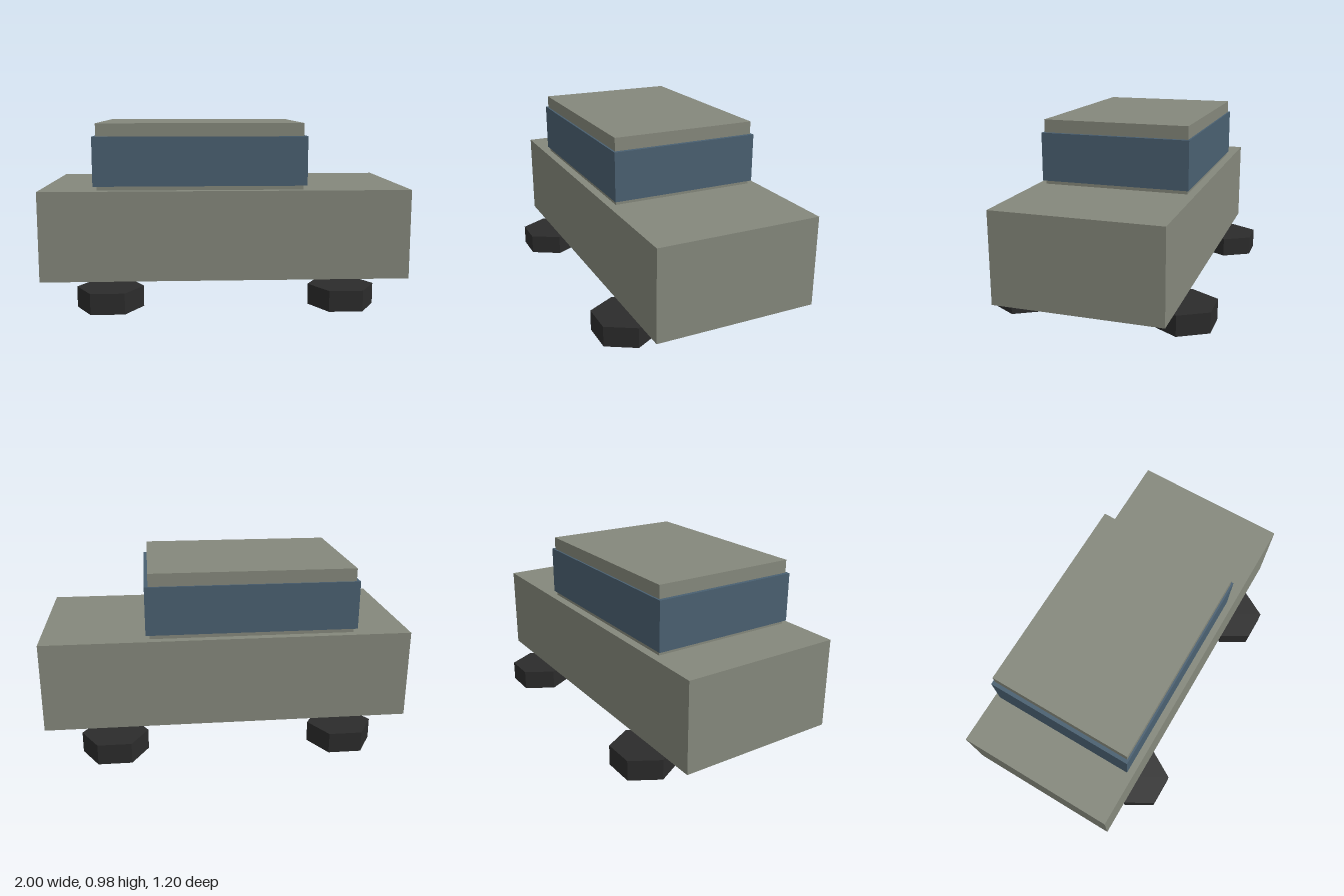
import * as THREE from 'three';

export function createModel() {
  const model = new THREE.Group();
  model.name = 'vehicle';

  const bodyPaint = new THREE.MeshStandardMaterial({ color: 0x85887c });
  const windowBlue = new THREE.MeshStandardMaterial({ color: 0x4a6071 });
  const rubber = new THREE.MeshStandardMaterial({ color: 0x2c2c2c, side: THREE.DoubleSide, flatShading: true });

  // Box given by its extents along x and y and its full depth along z
  function addBox(name, material, x0, x1, y0, y1, depth) {
    const mesh = new THREE.Mesh(new THREE.BoxGeometry(x1 - x0, y1 - y0, depth), material);
    mesh.position.set((x0 + x1) / 2, (y0 + y1) / 2, 0);
    mesh.name = name;
    model.add(mesh);
  }

  addBox('body', bodyPaint, -1, 1, 0.135, 0.623, 0.89);
  addBox('cabin', bodyPaint, -0.69, 0.42, 0.623, 0.98, 0.8);
  addBox('windowBand', windowBlue, -0.71, 0.44, 0.645, 0.91, 0.82);

  // Hexagonal wheels: side walls with a closed top and an open underside
  const radius = 0.178, height = 0.112;
  const wallGeometry = new THREE.CylinderGeometry(radius, radius, height, 6, 1, true);
  wallGeometry.rotateY(Math.PI / 6);
  const capGeometry = new THREE.CircleGeometry(radius, 6);
  capGeometry.rotateX(-Math.PI / 2);

  for (const x of [-0.622, 0.622]) {
    for (const z of [-0.445, 0.445]) {
      const wheel = new THREE.Group();
      wheel.name = (z > 0 ? 'front' : 'back') + (x > 0 ? 'Left' : 'Right') + 'Wheel';
      const wall = new THREE.Mesh(wallGeometry, rubber);
      wall.name = 'wheelWall';
      const cap = new THREE.Mesh(capGeometry, rubber);
      cap.name = 'wheelTop';
      cap.position.y = height / 2;
      wheel.add(wall, cap);
      wheel.position.set(x, height / 2, z);
      model.add(wheel);
    }
  }

  return model;
}
